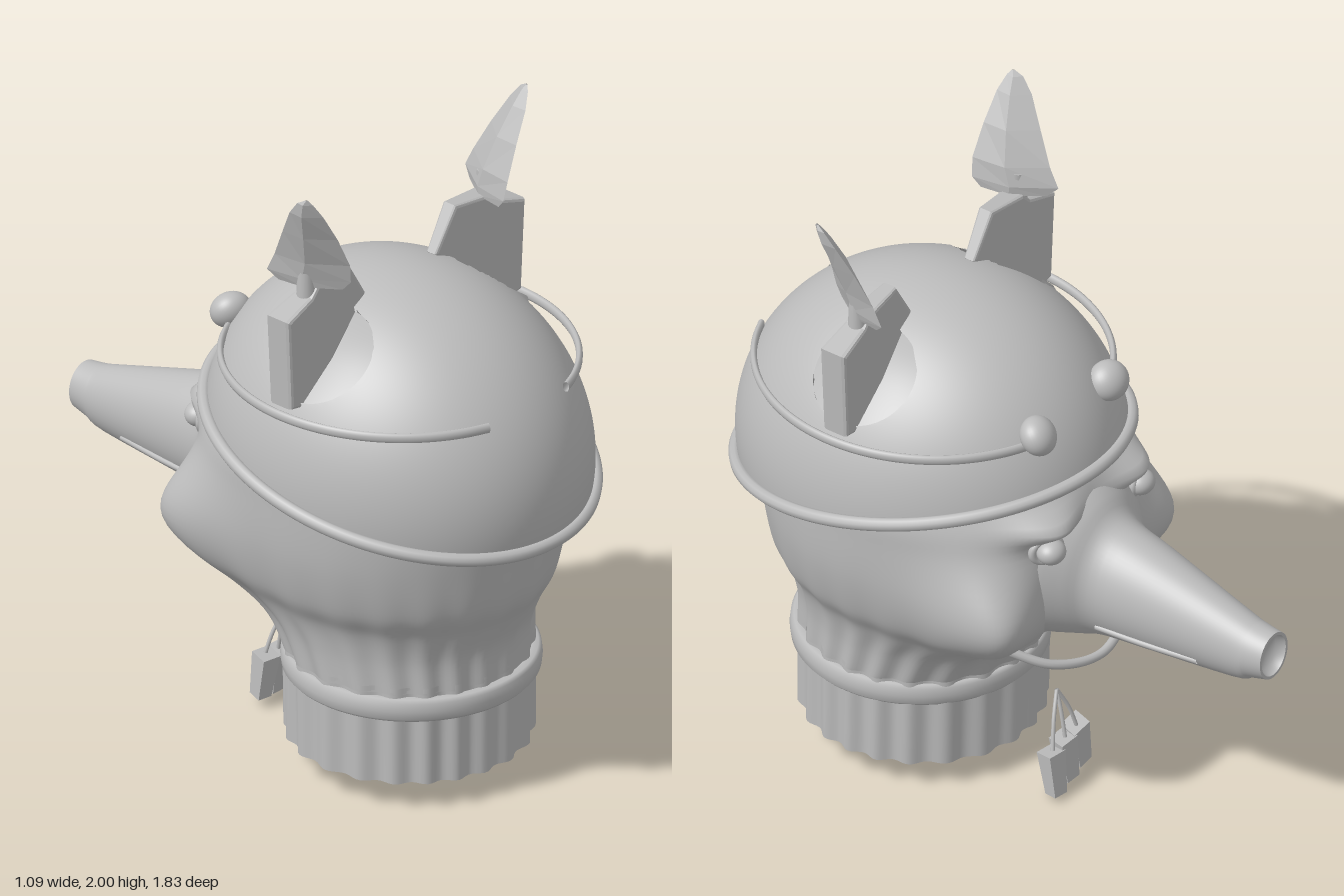
import * as THREE from 'three';

const grey = new THREE.MeshStandardMaterial({ color: 0xbcbcbc, side: THREE.DoubleSide });
grey.name = 'plain grey';

const V = (x, y, z) => new THREE.Vector3(x, y, z);

function add(parent, name, geometry) {
  const mesh = new THREE.Mesh(geometry, grey);
  mesh.name = name;
  parent.add(mesh);
  return mesh;
}

// Catmull-Rom resampling of section rows
function smooth(rows, steps) {
  const out = [];
  const at = i => rows[Math.min(Math.max(i, 0), rows.length - 1)];
  for (let i = 0; i < rows.length - 1; i++) {
    for (let s = 0; s < steps; s++) {
      const t = s / steps;
      out.push(at(i).map((p1, k) => {
        const p0 = at(i - 1)[k], p2 = at(i + 1)[k], p3 = at(i + 2)[k];
        const m1 = (p2 - p0) / 2, m2 = (p3 - p1) / 2, d = p2 - p1;
        return p1 + t * (m1 + t * (3 * d - 2 * m1 - m2 + t * (m1 + m2 - 2 * d)));
      }));
    }
  }
  out.push(rows[rows.length - 1]);
  return out;
}

// Stacked ellipses: [height, x min, x max, z min, z max, flute depth]
function loft(rows, sides, flutes = 0) {
  const pos = [], index = [];
  rows.forEach(([y, x0, x1, z0, z1, depth = 0], i) => {
    for (let j = 0; j < sides; j++) {
      const a = j / sides * Math.PI * 2;
      const f = 1 + depth * Math.cos(flutes * a + Math.sin(a * 3));
      pos.push((x0 + x1) / 2 + (x1 - x0) / 2 * Math.cos(a) * f, y,
        (z0 + z1) / 2 + (z1 - z0) / 2 * Math.sin(a) * f);
      if (i === rows.length - 1) continue;
      const p = i * sides + j, q = i * sides + (j + 1) % sides;
      index.push(p, p + sides, q, q, p + sides, q + sides);
    }
  });
  const g = new THREE.BufferGeometry();
  g.setAttribute('position', new THREE.Float32BufferAttribute(pos, 3));
  g.setIndex(index);
  g.computeVertexNormals();
  return g;
}

// Move every vertex by a rule and refresh the normals
function warp(g, rule) {
  const p = g.attributes.position, v = V();
  for (let i = 0; i < p.count; i++) {
    rule(v.fromBufferAttribute(p, i));
    p.setXYZ(i, v.x, v.y, v.z);
  }
  g.computeVertexNormals();
  return g;
}

// Soft swelling of cheeks and brows on both sides
function swell(v) {
  const s = v.x < 0 ? -1 : 1;
  const cheek = Math.exp(-v.distanceToSquared(V(0.33 * s, 0.735, -0.11)) / 0.034);
  const brow = Math.exp(-(((v.x * s - 0.19) / 0.1) ** 2 + ((v.y - 1.04) / 0.045) ** 2)) * (v.z < 0 ? 1 : 0);
  v.x += s * (0.095 * cheek + 0.02 * brow);
  v.z -= 0.15 * cheek + 0.075 * brow;
}

function tube(points, radius, closed = false, segments = 64) {
  return new THREE.TubeGeometry(new THREE.CatmullRomCurve3(points, closed), segments, radius, 10, closed);
}

function ball(parent, name, [x, y, z], [rx, ry, rz]) {
  const mesh = add(parent, name, new THREE.SphereGeometry(1, 32, 24));
  mesh.scale.set(rx, ry, rz);
  mesh.position.set(x, y, z);
  return mesh;
}

// Tilted cap with two round ear openings
function capGeometry() {
  const g = new THREE.SphereGeometry(1, 128, 56, 0, Math.PI * 2, 0, Math.PI / 2);
  g.scale(0.515, 0.55, 0.6).rotateX(0.22).translate(0, 1.02, 0.3);
  const p = g.attributes.position, inside = [], radius = 0.16;
  for (let i = 0; i < p.count; i++) {
    const v = V().fromBufferAttribute(p, i), side = v.x < 0 ? -1 : 1;
    const centre = V(0.33 * side, 1.415, 0.3), normal = V(0.6 * side, 0.8, 0);
    const d = v.clone().sub(centre);
    d.addScaledVector(normal, -d.dot(normal));
    inside[i] = d.length() < radius && v.y > 1.2;
    if (inside[i]) {
      v.copy(centre).add(d.setLength(radius));
      p.setXYZ(i, v.x, v.y, v.z);
    }
  }
  const kept = [], ix = g.index.array;
  for (let i = 0; i < ix.length; i += 3) {
    if (!(inside[ix[i]] && inside[ix[i + 1]] && inside[ix[i + 2]])) kept.push(ix[i], ix[i + 1], ix[i + 2]);
  }
  g.setIndex(kept);
  return g;
}

export function createModel() {
  const model = new THREE.Group();
  model.name = 'foxMaskHead';

  // Ribbed neck with a flat base
  add(model, 'neck', loft([
    [0.09, 0, 0, 0.34, 0.34], [0.09, -0.355, 0.355, -0.015, 0.69, 0.025],
    [0.09, -0.355, 0.355, -0.015, 0.69, 0.025], [0.4, -0.36, 0.36, -0.02, 0.69, 0.02],
  ], 192, 22));

  // Head, draped at the bottom and closed under the cap
  const head = loft(smooth([
    [0.38, -0.36, 0.36, -0.02, 0.69, 0.02], [0.48, -0.37, 0.37, -0.08, 0.695, 0.015],
    [0.57, -0.395, 0.395, -0.17, 0.73, 0.009], [0.66, -0.445, 0.445, -0.22, 0.775, 0.004],
    [0.8, -0.48, 0.48, -0.25, 0.8, 0.001], [0.95, -0.49, 0.49, -0.28, 0.82, 0],
    [1.06, -0.485, 0.485, -0.27, 0.81, 0], [1.2, -0.43, 0.43, -0.18, 0.74, 0],
    [1.33, -0.31, 0.31, -0.05, 0.61, 0], [1.41, -0.18, 0.18, 0.11, 0.46, 0], [1.44, 0, 0, 0.29, 0.29, 0],
  ], 6), 192, 22);
  add(model, 'head', warp(head, swell));

  // Collar ring round the neck
  const collar = add(model, 'collar', new THREE.LatheGeometry([
    [0.345, 0.3], [0.365, 0.3], [0.374, 0.31], [0.377, 0.335], [0.374, 0.36], [0.365, 0.37], [0.345, 0.37],
  ].map(([x, y]) => new THREE.Vector2(x, y)), 96));
  collar.position.z = 0.345;

  // Long tapering snout with a hollow tip, lofted upright and laid forward
  const snout = loft([
    ...smooth([
      [0.12, -0.3, 0.3, 0.58, 1.1], [0.22, -0.27, 0.27, 0.585, 1.09], [0.3, -0.2, 0.2, 0.595, 1.04],
      [0.36, -0.15, 0.15, 0.605, 0.98], [0.5, -0.127, 0.127, 0.615, 0.94],
      [0.8, -0.083, 0.083, 0.638, 0.85], [0.86, -0.075, 0.075, 0.66, 0.833], [0.915, -0.067, 0.067, 0.675, 0.825],
    ], 4),
    [0.915, -0.067, 0.067, 0.675, 0.825], [0.915, -0.058, 0.058, 0.684, 0.816],
    [0.915, -0.058, 0.058, 0.684, 0.816], [0.885, -0.05, 0.05, 0.69, 0.808], [0.885, 0, 0, 0.75, 0.75],
  ], 64);
  add(model, 'snout', snout.rotateX(-Math.PI / 2));

  // Cap and its rolled brim
  add(model, 'cap', capGeometry());
  const brim = [];
  for (let i = 0; i < 48; i++) {
    const a = i / 48 * Math.PI * 2;
    brim.push(V(0.526 * Math.cos(a), 0, 0.606 * Math.sin(a)));
  }
  add(model, 'capBrim', tube(brim, 0.02, true, 128).rotateX(0.22).translate(0, 1.02, 0.3));

  // Strap under the jaw
  add(model, 'chinStrap', tube([V(-0.27, 0.6, -0.15), V(-0.17, 0.535, -0.255), V(0, 0.502, -0.305),
    V(0.17, 0.535, -0.255), V(0.27, 0.6, -0.15)], 0.014));

  for (const s of [1, -1]) {
    const side = new THREE.Group();
    side.name = s > 0 ? 'leftSide' : 'rightSide';
    model.add(side);

    // Eye with a slim lid, and the mouth crease
    ball(side, 'eye', [0.215 * s, 0.97, -0.28], [0.045, 0.037, 0.042]);
    const lid = add(side, 'eyelid', new THREE.TorusGeometry(0.046, 0.012, 10, 32));
    lid.position.set(0.215 * s, 0.97, -0.262);
    lid.rotation.y = -0.45 * s;
    lid.scale.y = 0.85;
    add(side, 'lipFold', tube([V(0.122 * s, 0.69, -0.37), V(0.106 * s, 0.687, -0.52), V(0.079 * s, 0.685, -0.7)], 0.009));

    // Flat headband half, ending in a bead over the forehead
    const band = [];
    for (let i = 0; i <= 20; i++) {
      const a = -1.24 + 2.48 * i / 20;
      band.push(V(0.51 * s * Math.cos(a), 0, 0.3 + 0.52 * Math.sin(a)));
    }
    add(side, 'headband', tube(band, 0.01).scale(1, 1.6, 1).translate(0, 1.29, 0));
    const bead = ball(side, 'bead', [0.17 * s, 1.32, -0.2], [0.062, 0.06, 0.05]);
    bead.rotation.set(0.6, 0.3 * s, 0);

    // Ear mount, a plate standing in the opening and thinning toward the middle
    const outline = [[0.51, 1.6], [0.4, 1.635], [0.37, 1.665], [0.23, 1.68], [0.15, 1.55],
      [0.3, 1.4], [0.45, 1.3], [0.495, 1.31]].map(([x, y]) => new THREE.Vector2(x * s, y));
    const plate = new THREE.ExtrudeGeometry(new THREE.Shape(outline), {
      depth: 0.06, bevelEnabled: true, bevelThickness: 0.012, bevelSize: 0.01, bevelOffset: -0.01, bevelSegments: 2,
    });
    add(side, 'earMount', warp(plate, v => {
      v.z = 0.285 + (v.z - 0.03) * THREE.MathUtils.mapLinear(Math.abs(v.x), 0.15, 0.5, 0.45, 1.05);
    }));
    const stem = add(side, 'earStem', new THREE.CylinderGeometry(0.025, 0.03, 0.12, 16));
    stem.position.set(0.385 * s, 1.67, 0.285);

    // Keeled, pointed ear blade, set diagonally and leaning outward
    const ear = loft([
      [1.7, 0.375, 0.375, 0.285, 0.285], [1.66, 0.35, 0.4, 0.2, 0.38], [1.69, 0.345, 0.405, 0.17, 0.405],
      [1.75, 0.35, 0.415, 0.2, 0.412], [1.85, 0.385, 0.445, 0.25, 0.405],
      [1.94, 0.43, 0.475, 0.3, 0.395], [1.985, 0.458, 0.48, 0.335, 0.38], [2, 0.47, 0.475, 0.36, 0.37],
    ], 4).toNonIndexed();
    add(side, 'ear', warp(ear, v => {
      v.x -= 0.42 * (v.z - THREE.MathUtils.mapLinear(v.y, 1.66, 2, 0.285, 0.365));
    })).scale.x = s;
  }

  // Bunch of three hanging tags on cords
  const charm = new THREE.Group();
  charm.name = 'hangingCharm';
  model.add(charm);
  [-1, 0, 1].forEach(k => {
    const x = 0.01 + 0.072 * k;
    add(charm, 'cord', tube([V(0, 0.3, -0.14), V(x * 0.5, 0.23, -0.16), V(x * 0.9, 0.13, -0.18)], 0.006, false, 12));
    const tag = add(charm, 'tag', warp(new THREE.CylinderGeometry(0.06, 0.045, 0.13, 4, 1).toNonIndexed(), () => {}));
    tag.scale.z = 0.7;
    tag.position.set(x, 0.088 - 0.01 * k, -0.18 - 0.01 * k);
    tag.rotation.set(0.15, 0.6, 0.15 * k);
  });
  return model;
}
